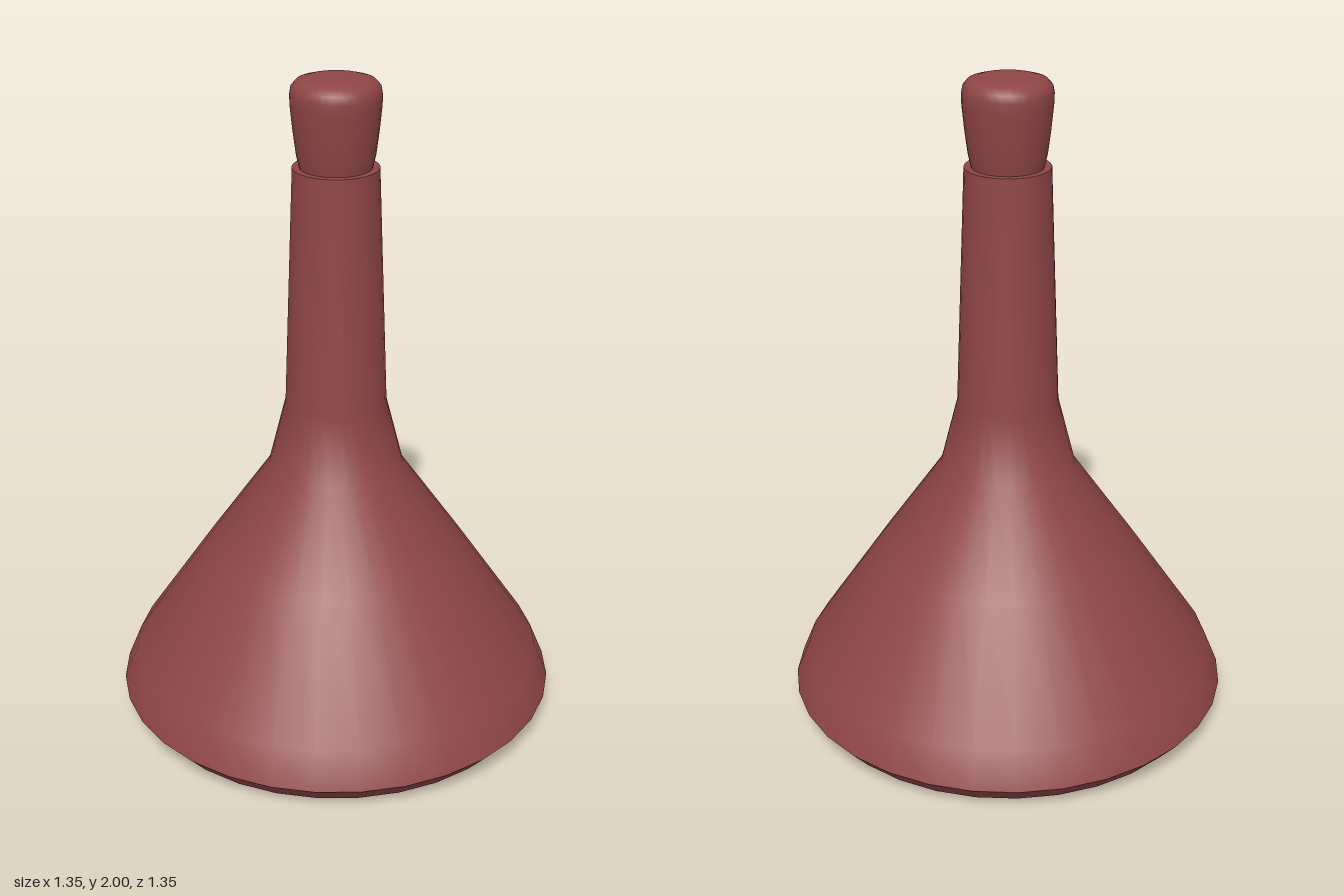
import * as THREE from 'three';

const SIDES = 32;

export function createModel() {
  const model = new THREE.Group();
  const material = new THREE.MeshStandardMaterial({
    color: 0x8f4547, roughness: 0.8, side: THREE.DoubleSide,
  });

  // Each profile runs bottom to top as [radius, height] pairs.
  function addLathe(name, profile) {
    const points = profile.map(([r, y]) => new THREE.Vector2(r, y));
    const mesh = new THREE.Mesh(new THREE.LatheGeometry(points, SIDES), material);
    mesh.name = name;
    model.add(mesh);
  }

  // Flask: separate lathes keep the foot, bevel and rim edges crisp
  addLathe('base', [[0, 0], [0.5, 0.003], [0.62, 0.018]]);
  addLathe('baseBevel', [[0.62, 0.018], [0.675, 0.08]]);
  addLathe('body', [
    [0.675, 0.08], [0.632, 0.185], [0.4, 0.53],
    [0.205, 0.81], [0.152, 1.02], [0.126, 1.74],
  ]);
  addLathe('rim', [[0.126, 1.74], [0.1, 1.74]]);
  addLathe('neckInside', [[0.1, 1.74], [0.1, 1.62]]);

  // Stopper: tapered plug with a softly rounded top
  addLathe('stopper', [
    [0, 1.64], [0.085, 1.65], [0.098, 1.7], [0.106, 1.745], [0.114, 1.78], [0.123, 1.85],
    [0.13, 1.92], [0.131, 1.95], [0.127, 1.972], [0.113, 1.988],
    [0.085, 1.996], [0.045, 1.999], [0, 2],
  ]);

  return model;
}
